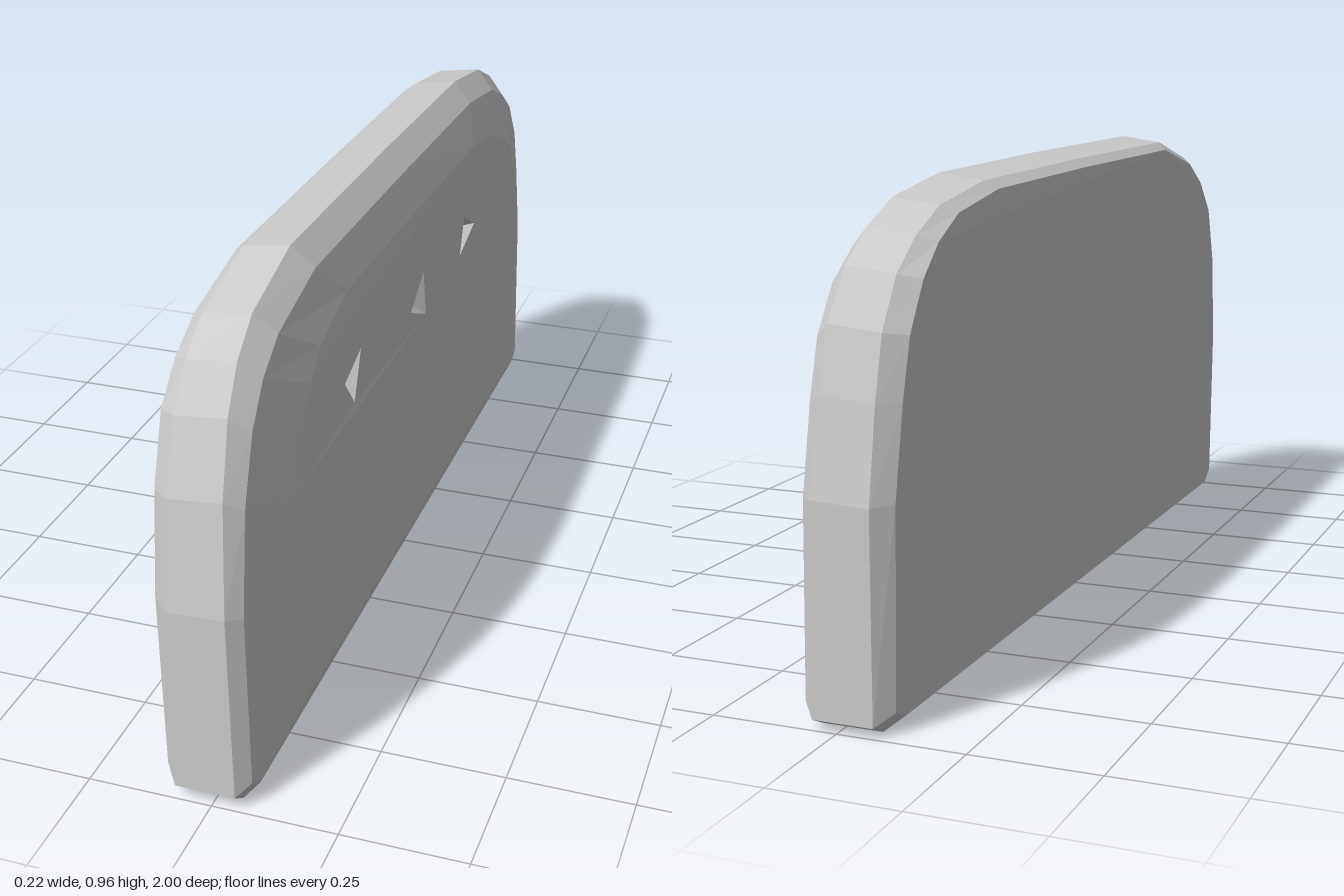
import * as THREE from 'three';

const HEIGHT = 0.965;

// Outline of the panel as [z, y], clockwise when seen from +x
const OUTLINE = [
  [0.96, 0], [1, 0.03], [1, 0.42], [0.97, 0.64], [0.92, 0.78], [0.86, 0.86], [0.78, 0.915],
  [0.58, 0.965], [0, 0.96], [-0.5, 0.95], [-0.7, 0.92], [-0.8, 0.875], [-0.88, 0.815],
  [-0.94, 0.72], [-0.97, 0.6], [-1, 0.42], [-1, 0.02], [-0.96, 0],
];

// Triangular tuft dimples as [z, y], counter-clockwise when seen from +x
const DIMPLES = [
  [[0.51, 0.66], [0.45, 0.59], [0.41, 0.69]],
  [[0.08, 0.62], [-0.03, 0.57], [-0.01, 0.68]],
  [[-0.3, 0.6], [-0.42, 0.635], [-0.33, 0.685]],
];

// Depth of the padded face, fuller towards the middle height
const faceX = (y) => 0.08 + 0.025 * Math.min(1, y / 0.5) - 0.1 * Math.max(0, y - 0.72);

// Scaled copy of the outline, placed in depth by a rule
function ring(scale, bottom, top, depth) {
  return OUTLINE.map(([z, y]) => {
    const h = bottom + (y * (top - bottom)) / HEIGHT;
    return new THREE.Vector3(depth(h), h, z * scale);
  });
}

// Triangles of a flat-shaded cap, with optional holes
function cap(contour, holes = []) {
  const flat = (loop) => loop.map((p) => new THREE.Vector2(-p.z, p.y));
  const shape = new THREE.Shape(flat(contour));
  shape.holes = holes.map((h) => new THREE.Path(flat(h)));
  const geo = new THREE.ShapeGeometry(shape);
  const pos = geo.attributes.position;
  const all = [contour, ...holes].flat();
  return [...geo.index.array].map((i) => {
    const u = pos.getX(i), v = pos.getY(i);
    return all.find((p) => Math.hypot(p.z + u, p.y - v) < 1e-4);
  });
}

function meshFrom(name, points) {
  const geo = new THREE.BufferGeometry().setFromPoints(points);
  geo.computeVertexNormals();
  const mesh = new THREE.Mesh(geo, new THREE.MeshStandardMaterial({ color: 0xcccccc, flatShading: true }));
  mesh.name = name;
  return mesh;
}

export function createModel() {
  const group = new THREE.Group();
  group.name = 'headboard';

  // Cross-sections from the flat back to the padded face
  const rings = [
    ring(0.965, 0.022, 0.935, (y) => -0.1 - 0.01 * Math.min(1, y / 0.75) + 0.1 * Math.max(0, y - 0.78)),
    ring(1, 0, 0.952, () => -0.072),
    ring(1, 0, HEIGHT, (y) => 0.048 - 0.03 * y * y),
    ring(0.975, 0.025, 0.92, (y) => 0.074 - 0.012 * y),
    ring(0.82, 0.06, 0.84, faceX),
  ];

  // Rounded rim
  const rim = [];
  for (let r = 0; r < rings.length - 1; r++) {
    for (let j = 0; j < OUTLINE.length; j++) {
      const k = (j + 1) % OUTLINE.length;
      const a = rings[r][j], b = rings[r + 1][j], c = rings[r + 1][k], d = rings[r][k];
      rim.push(a, b, c, a, c, d);
    }
  }
  group.add(meshFrom('rim', rim));

  // Flat back
  group.add(meshFrom('backPanel', cap(rings[0]).reverse()));

  // Padded face, drawn in slightly around each dimple
  const mouths = DIMPLES.map((d) => d.map(([z, y]) => new THREE.Vector3(faceX(y) - 0.008, y, z)));
  group.add(meshFrom('paddedFace', cap(rings[4], mouths)));

  // Tuft dimples
  mouths.forEach((mouth) => {
    const apex = new THREE.Vector3();
    mouth.forEach((p) => apex.addScaledVector(p, 1 / 3));
    apex.x -= 0.05;
    const pit = mouth.flatMap((p, i) => [p, mouth[(i + 1) % 3], apex]);
    group.add(meshFrom('tuftDimple', pit));
  });

  return group;
}
